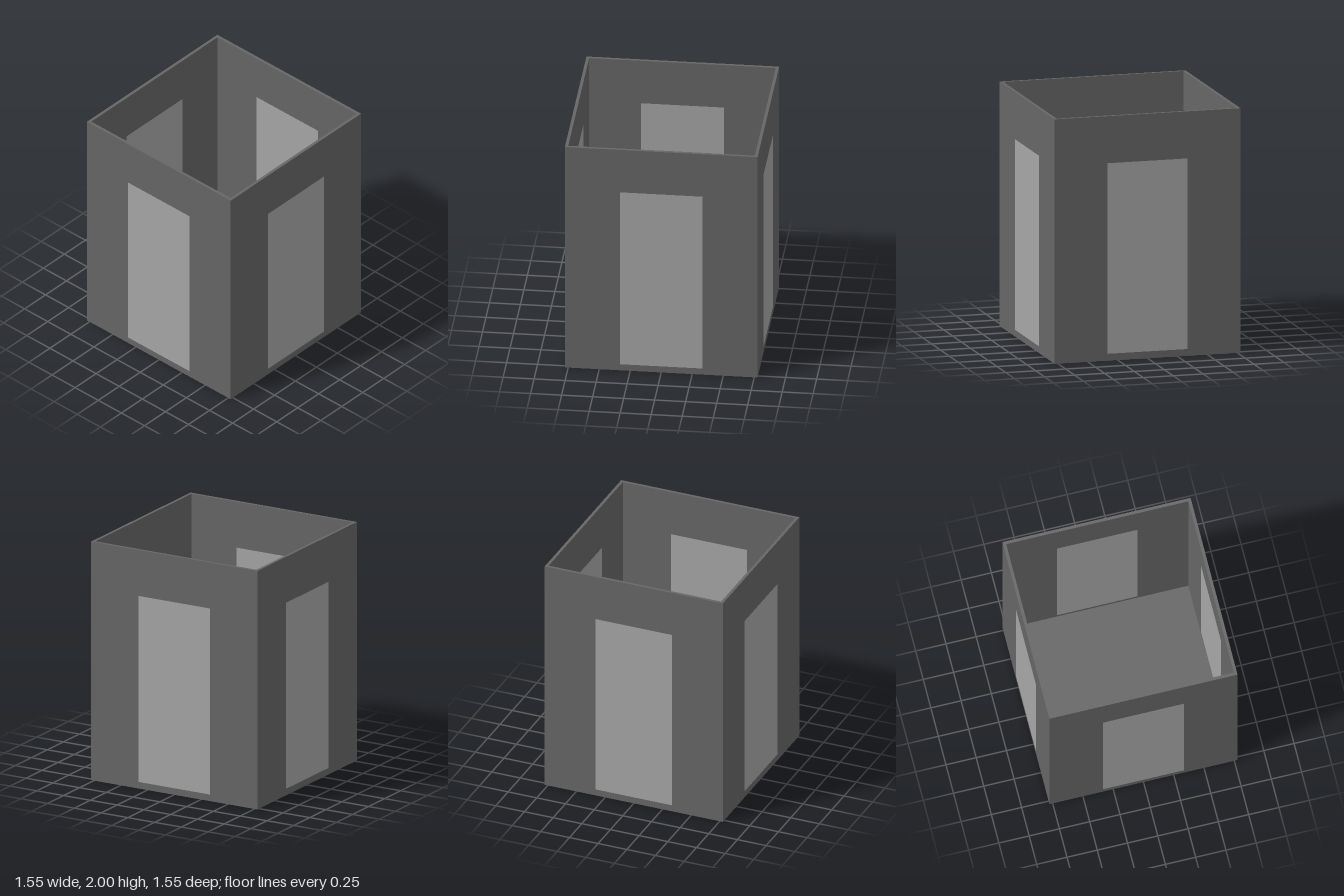
import * as THREE from 'three';

const HALF = 0.777, HEIGHT = 2, THICK = 0.025, FLOOR = 0.025;
const PANE = { half: 0.333, bottom: 0.055, top: 1.615 };

export function createModel() {
  const group = new THREE.Group();
  group.name = 'openBox';
  const dark = new THREE.MeshStandardMaterial({ color: 0x666666 });
  const light = new THREE.MeshStandardMaterial({ color: 0xa6a6a6 });

  const add = (parent, name, geometry, material, x, y, z) => {
    const mesh = new THREE.Mesh(geometry, material);
    mesh.name = name;
    mesh.position.set(x, y, z);
    parent.add(mesh);
  };

  // Floor slab
  add(group, 'floor', new THREE.BoxGeometry(HALF * 2, FLOOR, HALF * 2), dark, 0, FLOOR / 2, 0);

  // A wall with a tall opening, filled by a flush pane
  const makeSide = (name, halfWidth, angle) => {
    const side = new THREE.Group();
    side.name = name;
    const { half, bottom, top } = PANE;
    const shape = new THREE.Shape()
      .moveTo(-halfWidth, FLOOR).lineTo(halfWidth, FLOOR)
      .lineTo(halfWidth, HEIGHT).lineTo(-halfWidth, HEIGHT).closePath();
    shape.holes.push(new THREE.Path()
      .moveTo(-half, bottom).lineTo(-half, top)
      .lineTo(half, top).lineTo(half, bottom).closePath());
    const wall = new THREE.ExtrudeGeometry(shape, { depth: THICK, bevelEnabled: false });
    add(side, name + 'Wall', wall, dark, 0, 0, HALF - THICK);
    const pane = new THREE.BoxGeometry(half * 2, top - bottom, THICK);
    add(side, name + 'Pane', pane, light, 0, (top + bottom) / 2, HALF - THICK / 2);
    side.rotation.y = angle;
    group.add(side);
  };

  // Front and back span the full width; left and right fit between them
  ['front', 'left', 'back', 'right'].forEach((name, i) =>
    makeSide(name, i % 2 ? HALF - THICK : HALF, i * Math.PI / 2));

  return group;
}
